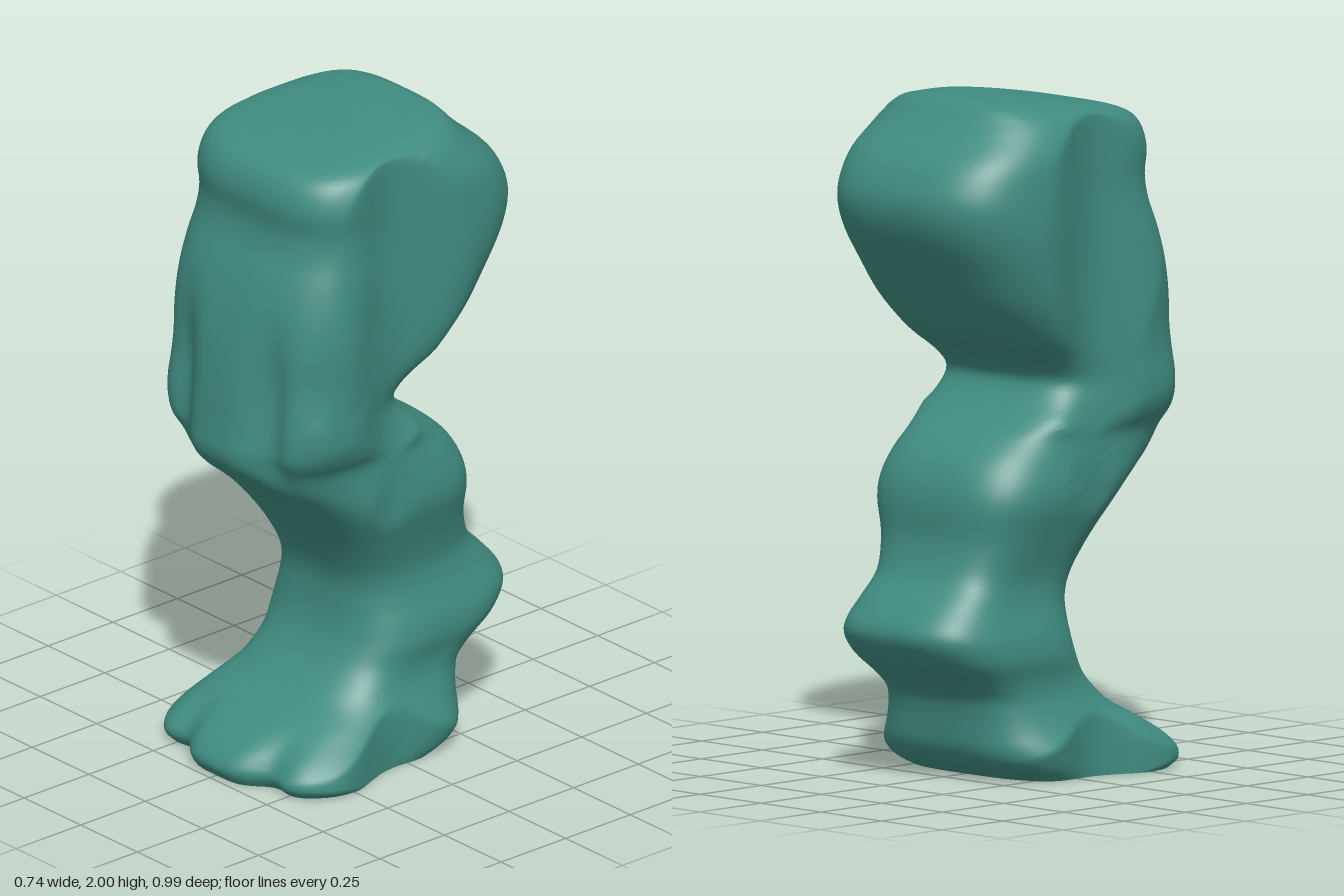
import * as THREE from 'three';

// Cross-sections from sole to crown: [y, front z, back z, half width]
const SECTIONS = [
  [0, 0.475, -0.16, 0.355], [0.03, 0.495, -0.22, 0.39], [0.06, 0.49, -0.255, 0.385],
  [0.1, 0.45, -0.277, 0.36], [0.15, 0.36, -0.285, 0.325], [0.2, 0.25, -0.292, 0.297],
  [0.25, 0.19, -0.31, 0.28], [0.3, 0.145, -0.365, 0.278], [0.36, 0.112, -0.44, 0.29],
  [0.42, 0.097, -0.487, 0.286], [0.47, 0.092, -0.483, 0.272], [0.53, 0.093, -0.433, 0.256],
  [0.6, 0.115, -0.367, 0.253], [0.7, 0.172, -0.332, 0.28], [0.8, 0.252, -0.33, 0.312],
  [0.87, 0.325, -0.317, 0.317], [0.94, 0.41, -0.28, 0.308], [1.0, 0.475, -0.215, 0.306],
  [1.05, 0.495, -0.138, 0.332], [1.1, 0.492, -0.078, 0.35], [1.16, 0.487, -0.043, 0.352],
  [1.22, 0.483, -0.09, 0.35], [1.3, 0.475, -0.2, 0.355], [1.4, 0.46, -0.3, 0.37],
  [1.5, 0.435, -0.37, 0.378], [1.6, 0.402, -0.437, 0.378], [1.68, 0.37, -0.467, 0.374],
  [1.75, 0.358, -0.461, 0.37], [1.83, 0.367, -0.415, 0.364], [1.9, 0.345, -0.335, 0.343],
  [1.94, 0.29, -0.292, 0.318], [1.965, 0.17, -0.27, 0.28], [1.985, 0.03, -0.25, 0.22],
  [1.998, -0.06, -0.22, 0.1],
];
const AROUND = 120, STEPS = 4;
const bell = (v, c, s) => Math.exp(-(((v - c) / s) ** 2));
const step = THREE.MathUtils.smoothstep;

// Catmull-Rom blend of neighbouring sections
function sectionAt(t) {
  const last = SECTIONS.length - 1, i = Math.min(Math.floor(t), last - 1), f = t - i;
  const at = (k) => SECTIONS[Math.max(0, Math.min(last, k))];
  const [a, b, c, d] = [at(i - 1), at(i), at(i + 1), at(i + 2)];
  return b.map((p, k) => p + 0.5 * f * (c[k] - a[k]
    + f * (2 * a[k] - 5 * p + 4 * c[k] - d[k] + f * (3 * (p - c[k]) + d[k] - a[k]))));
}

// Rounded section, limited by a waisted plan outline, with a three-lobed front edge
function ring(t) {
  const [y, front, back, half] = sectionAt(t);
  const mid = (front + back) / 2, depth = (front - back) / 2;
  const lobes = 1 - step(y, 0.06, 0.2) + step(y, 0.92, 1.04) * (1 - step(y, 1.2, 1.6));
  const points = [];
  for (let i = 0; i < AROUND; i++) {
    const a = (i / AROUND) * Math.PI * 2, c = Math.cos(a), s = Math.sin(a);
    const round = (v) => Math.sign(v) * Math.abs(v) ** (2 / 3.2);
    let z = mid + depth * round(s);
    const plan = 0.387 - 0.085 * bell(z, 0.06, 0.17);
    const x = round(c) * Math.min(half, plan), side = Math.abs(x);
    if (s > 0) {
      const dip = 0.045 * bell(side, 0.18, 0.06) + 0.02 * step(side, 0.05, 0.25);
      z -= lobes * dip * step(s, 0.15, 0.6);
    }
    points.push([x, y, z]);
  }
  return points;
}

function build(pos, index) {
  const g = new THREE.BufferGeometry();
  g.setAttribute('position', new THREE.Float32BufferAttribute(pos, 3));
  g.setIndex(index);
  g.computeVertexNormals();
  return g;
}

function bodyGeometry() {
  const pos = [], index = [], rows = (SECTIONS.length - 1) * STEPS;
  for (let r = 0; r <= rows; r++) for (const p of ring(r / STEPS)) pos.push(...p);
  for (let r = 0; r < rows; r++) for (let i = 0; i < AROUND; i++) {
    const j = (i + 1) % AROUND, a = r * AROUND + i, b = r * AROUND + j;
    index.push(a, a + AROUND, b, b, a + AROUND, b + AROUND);
  }
  // Crown closes smoothly to a single point
  const crown = pos.length / 3;
  pos.push(0, 2, -0.14);
  for (let i = 0; i < AROUND; i++) {
    index.push(rows * AROUND + i, crown, rows * AROUND + (i + 1) % AROUND);
  }
  return build(pos, index);
}

// Flat underside with its own hard edge
function soleGeometry() {
  const pos = [0, SECTIONS[0][0], 0.1], index = [];
  for (const p of ring(0)) pos.push(...p);
  for (let i = 0; i < AROUND; i++) index.push(0, 1 + i, 1 + (i + 1) % AROUND);
  return build(pos, index);
}

export function createModel() {
  const teal = new THREE.MeshStandardMaterial({ color: 0x3f8b80 });
  teal.name = 'teal';
  const group = new THREE.Group();
  group.name = 'figure';
  const body = new THREE.Mesh(bodyGeometry(), teal);
  body.name = 'body';
  const sole = new THREE.Mesh(soleGeometry(), teal);
  sole.name = 'sole';
  group.add(body, sole);
  return group;
}
